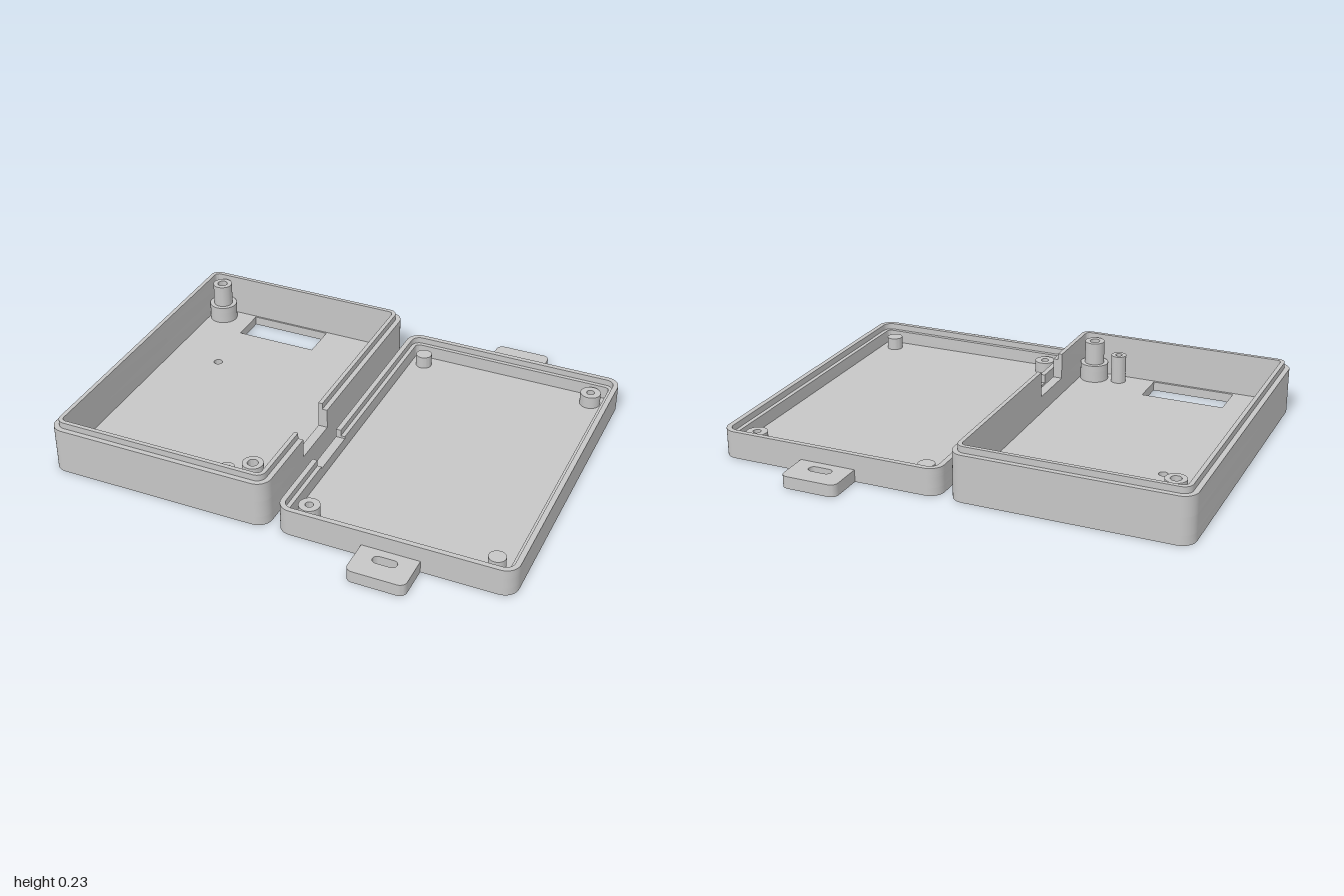
import * as THREE from 'three';
import { toCreasedNormals } from 'three/addons/utils/BufferGeometryUtils.js';

const W = 0.98, HALF = 0.71, GAP = 0.02, R = 0.06;
const NOTCH = [0.133, 0.363];

export function createModel() {
  const grey = new THREE.MeshStandardMaterial({ color: 0xc6c6c6 });
  grey.name = 'light grey plastic';
  const model = new THREE.Group();
  const box = new THREE.Group();
  box.name = 'box';
  const lid = new THREE.Group();
  lid.name = 'lid';
  model.add(box, lid);

  // orders points clockwise or counter-clockwise so that every side faces out
  function wind(pts, clockwise) {
    return THREE.ShapeUtils.isClockWise(pts) === clockwise ? pts : [...pts].reverse();
  }

  // flat outline (x, z) with holes, raised from y0 to y1
  function plate(parent, name, outline, holes, y0, y1) {
    const shape = new THREE.Shape(wind(outline, false));
    shape.holes = holes.map((h) => new THREE.Path(wind(h, true)));
    const geo = new THREE.ExtrudeGeometry(shape, { depth: y1 - y0, bevelEnabled: false });
    geo.rotateX(Math.PI / 2).translate(0, y1, 0);
    const mesh = new THREE.Mesh(toCreasedNormals(geo, 0.6), grey);
    mesh.name = name;
    parent.add(mesh);
  }

  function circle(x, z, r, n = 32) {
    return Array.from({ length: n }, (_, i) => {
      const a = (i / n) * Math.PI * 2;
      return new THREE.Vector2(x + r * Math.cos(a), z + r * Math.sin(a));
    });
  }

  function rect(x0, x1, z0, z1) {
    return [[x0, z0], [x1, z0], [x1, z1], [x0, z1]].map((p) => new THREE.Vector2(...p));
  }

  // rounded tray outline, starting and ending at the cable notch;
  // side is -1 for the box and 1 for the lid
  function outline(side, inset) {
    const r = Math.max(R - inset, 0.015);
    const lo = inset, hi = W - inset, h = HALF - inset;
    const pts = [[lo, NOTCH[1]]];
    const corners = [[lo + r, h - r, 2], [hi - r, h - r, 1], [hi - r, r - h, 0], [lo + r, r - h, -1]];
    for (const [cx, cz, q] of corners) {
      for (let i = 0; i <= 8; i++) {
        const a = (q - i / 8) * Math.PI / 2;
        pts.push([cx + r * Math.cos(a), cz + r * Math.sin(a)]);
      }
    }
    pts.push([lo, NOTCH[0]]);
    return pts.map(([u, z]) => new THREE.Vector2(side * (GAP + u), z));
  }

  function wall(parent, name, side, outer, inner, y0, y1, notched) {
    const a = outline(side, outer), b = outline(side, inner);
    if (notched) plate(parent, name, [...a, ...b.reverse()], [], y0, y1);
    else plate(parent, name, a, [b], y0, y1);
  }

  // box: floor with openings, notched wall and raised lip
  const screwPosts = [[-0.898, -0.609], [-0.123, 0.605]];
  const smallPost = [-0.237, 0.61];
  plate(box, 'boxFloor', outline(-1, 0), [
    rect(-0.757, -0.39, -0.662, -0.503),
    rect(-0.757, -0.39, 0.497, 0.658),
    circle(-0.733, -0.238, 0.019),
    circle(-0.103, -0.387, 0.019),
    circle(...smallPost, 0.015),
    ...screwPosts.map(([x, z]) => circle(x, z, 0.043, 6)),
  ], 0, 0.04);
  wall(box, 'boxLowerWall', -1, 0, 0.04, 0.04, 0.115, false);
  wall(box, 'boxUpperWall', -1, 0, 0.04, 0.115, 0.2, true);
  wall(box, 'boxLip', -1, 0.022, 0.04, 0.2, 0.227, true);

  // stepped screw posts with hexagonal nut pockets underneath
  for (const [x, z] of screwPosts) {
    plate(box, 'postBase', circle(x, z, 0.062), [circle(x, z, 0.043, 6)], 0.04, 0.09);
    plate(box, 'postShoulder', circle(x, z, 0.062), [circle(x, z, 0.022)], 0.09, 0.117);
    plate(box, 'postTop', circle(x, z, 0.043), [circle(x, z, 0.022)], 0.117, 0.217);
  }
  plate(box, 'smallPost', circle(...smallPost, 0.033), [circle(...smallPost, 0.015)], 0.04, 0.165);

  // lid: floor, wall with inner ledge and thin outer rim
  plate(lid, 'lidFloor', outline(1, 0), [], 0, 0.033);
  wall(lid, 'lidWall', 1, 0, 0.04, 0.033, 0.08, false);
  wall(lid, 'lidLedge', 1, 0, 0.04, 0.08, 0.09, true);
  wall(lid, 'lidRim', 1, 0, 0.022, 0.09, 0.117, true);

  // corner pegs, two solid and two with screw holes
  for (const [x, z] of [[0.119, -0.609], [0.894, 0.605]]) {
    plate(lid, 'solidPeg', circle(x, z, 0.035), [], 0.033, 0.087);
  }
  for (const [x, z] of [[0.894, -0.609], [0.119, 0.605]]) {
    plate(lid, 'screwPeg', circle(x, z, 0.044), [circle(x, z, 0.017)], 0.033, 0.087);
  }

  // mounting tabs with slots, mirrored front and back
  for (const s of [-1, 1]) {
    const x0 = 0.385, x1 = 0.628, r = 0.03, end = 0.87;
    const tab = [[x0, 0.7]], slot = [];
    for (let i = 0; i <= 6; i++) {
      const a = Math.PI - (i / 6) * Math.PI / 2;
      tab.push([x0 + r + r * Math.cos(a), end - r + r * Math.sin(a)]);
    }
    for (let i = 0; i <= 6; i++) {
      const a = Math.PI / 2 - (i / 6) * Math.PI / 2;
      tab.push([x1 - r + r * Math.cos(a), end - r + r * Math.sin(a)]);
    }
    tab.push([x1, 0.7]);
    for (const e of [1, -1]) {
      for (let i = 0; i <= 10; i++) {
        const a = (i / 10 - 0.5) * Math.PI;
        slot.push([0.507 + e * (0.03 + 0.021 * Math.cos(a)), 0.767 + e * 0.021 * Math.sin(a)]);
      }
    }
    const place = (pts) => pts.map(([x, z]) => new THREE.Vector2(x, s * z));
    plate(lid, s > 0 ? 'frontTab' : 'backTab', place(tab), [place(slot)], 0, 0.052);
  }
  return model;
}
